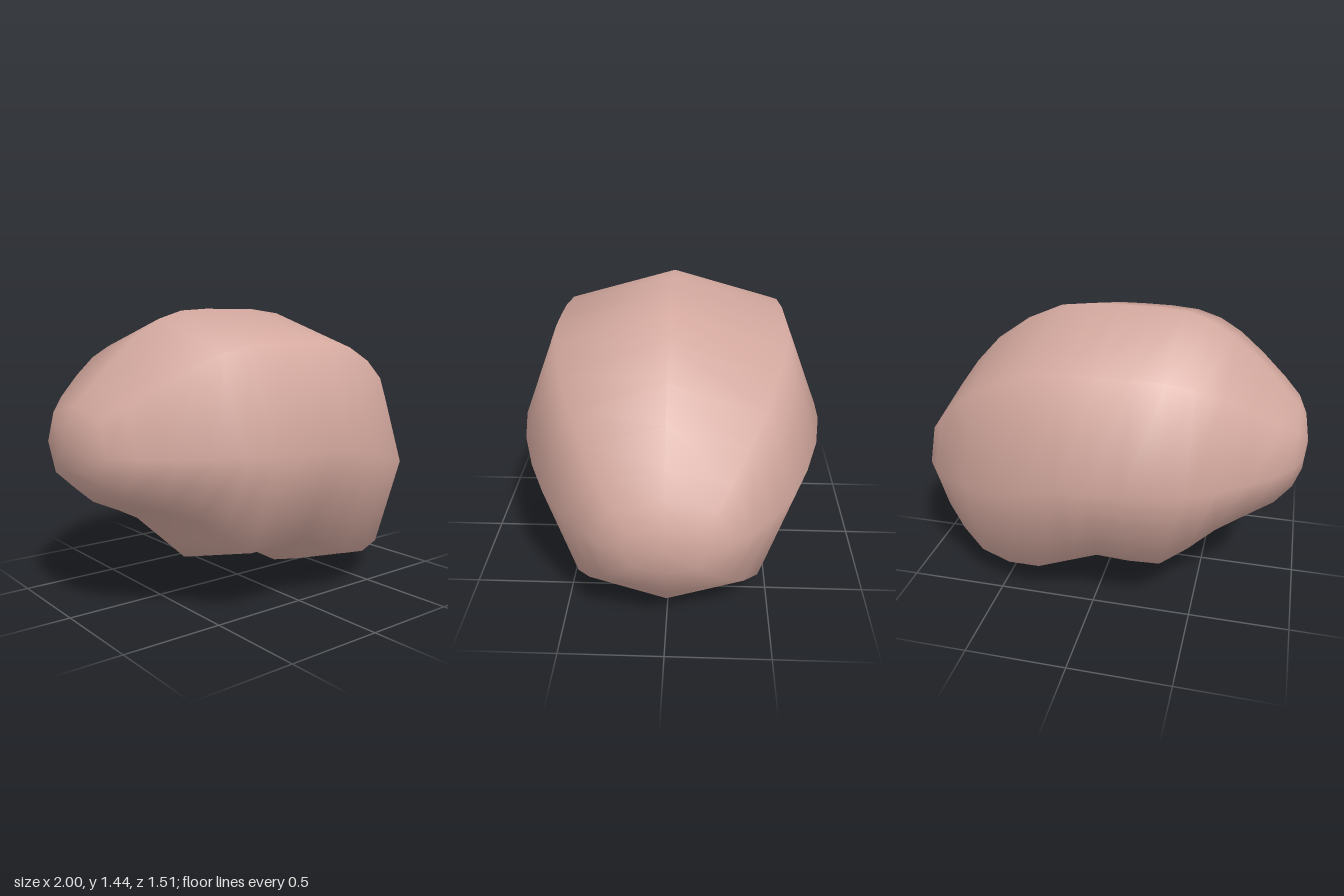
import * as THREE from 'three';

// Cross-sections along x: [x, top y, middle y, bottom y, half width]
const sections = [
  [-0.98, 0.92, 0.80, 0.69, 0.19],
  [-0.94, 1.00, 0.80, 0.61, 0.30],
  [-0.86, 1.08, 0.80, 0.54, 0.41],
  [-0.73, 1.21, 0.80, 0.48, 0.52],
  [-0.60, 1.32, 0.80, 0.41, 0.62],
  [-0.48, 1.39, 0.80, 0.29, 0.69],
  [-0.35, 1.43, 0.80, 0.17, 0.73],
  [-0.20, 1.44, 0.80, 0.175, 0.75],
  [-0.04, 1.44, 0.80, 0.19, 0.755],
  [0.10, 1.44, 0.79, 0.12, 0.755],
  [0.27, 1.42, 0.74, 0.03, 0.73],
  [0.45, 1.34, 0.69, 0.00, 0.67],
  [0.62, 1.22, 0.65, 0.03, 0.59],
  [0.75, 1.08, 0.62, 0.13, 0.49],
  [0.86, 0.93, 0.60, 0.26, 0.39],
  [0.935, 0.82, 0.60, 0.37, 0.30],
  [0.98, 0.71, 0.60, 0.47, 0.19],
];

// Slightly squared octagon, as unit [up, side] steps around the section
const D = 0.752;
const octagon = [[1, 0], [D, D], [0, 1], [-D, D], [-1, 0], [-D, -D], [0, -1], [D, -D]];

function bodyGeometry() {
  const n = octagon.length;
  const positions = [];
  const index = [];

  for (const [x, top, mid, bottom, width] of sections) {
    for (const [up, side] of octagon) {
      const y = mid + up * (up > 0 ? top - mid : mid - bottom);
      positions.push(x, y, side * width);
    }
  }
  // End points close the two tips
  const leftTip = positions.length / 3;
  positions.push(-1, 0.8, 0, 1, 0.6, 0);
  const rightTip = leftTip + 1;
  const last = (sections.length - 1) * n;

  for (let j = 0; j < n; j++) {
    const k = (j + 1) % n;
    index.push(leftTip, k, j);
    for (let a = 0; a < last; a += n) {
      index.push(a + j, a + k, a + n + j);
      index.push(a + k, a + n + k, a + n + j);
    }
    index.push(last + j, last + k, rightTip);
  }

  const geometry = new THREE.BufferGeometry();
  geometry.setAttribute('position', new THREE.Float32BufferAttribute(positions, 3));
  geometry.setIndex(index);
  geometry.computeVertexNormals();
  return geometry;
}

export function createModel() {
  const group = new THREE.Group();
  group.name = 'roundedLobe';
  const dustyPink = new THREE.MeshStandardMaterial({ color: 0xd4a99f });
  dustyPink.name = 'dusty pink';

  // Single smooth body
  const body = new THREE.Mesh(bodyGeometry(), dustyPink);
  body.name = 'body';
  group.add(body);
  return group;
}
